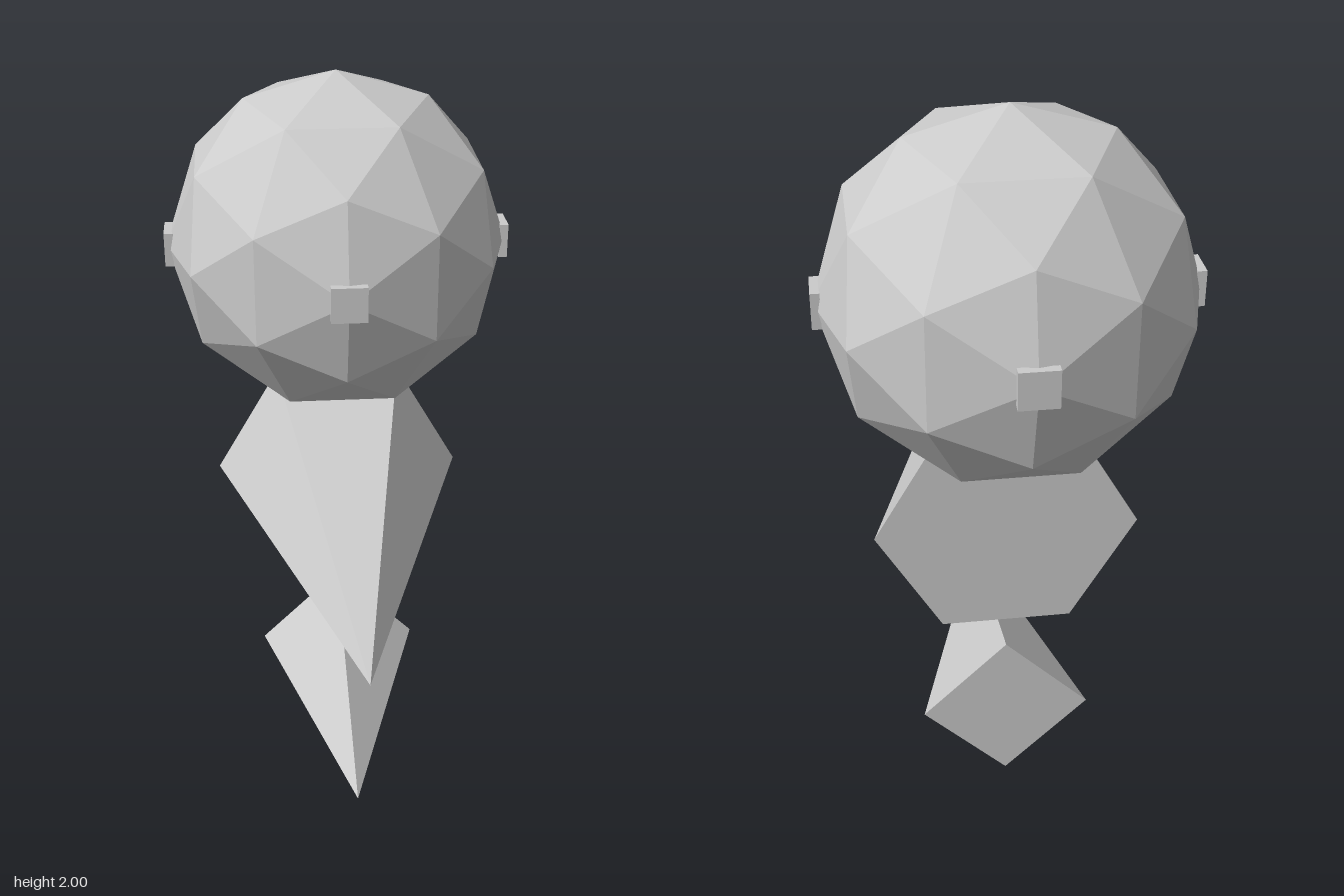
import * as THREE from 'three';

const BASE_Z = -0.303; // shared plane of the cone bases and sphere centre
const HEAD_Y = 1.54;
const HEAD_R = 0.46;

export function createModel() {
  const group = new THREE.Group();
  const material = new THREE.MeshStandardMaterial({ color: 0xcccccc, flatShading: true });

  const add = (name, geometry, x, y, z) => {
    const mesh = new THREE.Mesh(geometry, material);
    mesh.name = name;
    mesh.position.set(x, y, z);
    group.add(mesh);
    return mesh;
  };

  // Closed pyramid lying down, apex towards the front
  const spike = (name, radius, length, sides, start, y) => {
    const geometry = new THREE.ConeGeometry(radius, length, sides, 1, false, start);
    geometry.rotateX(Math.PI / 2).translate(0, 0, length / 2);
    return add(name, geometry, 0, y, BASE_Z);
  };

  // Faceted ball on top
  add('facetedSphere', new THREE.IcosahedronGeometry(HEAD_R, 1), 0, HEAD_Y, BASE_Z);

  // Four small plates around the ball's equator
  const plate = new THREE.BoxGeometry(0.092, 0.092, 0.023);
  ['frontPlate', 'leftPlate', 'backPlate', 'rightPlate'].forEach((name, i) => {
    const a = (i * Math.PI) / 2;
    const d = 0.452;
    add(name, plate, Math.sin(a) * d, HEAD_Y, BASE_Z + Math.cos(a) * d).rotation.y = a;
  });

  // Six-sided and four-sided spikes below
  spike('hexagonalSpike', 0.345, 1.07, 6, Math.PI / 6, 0.85);
  spike('squareSpike', 0.23, 0.765, 4, 0, 0.23);

  return group;
}
